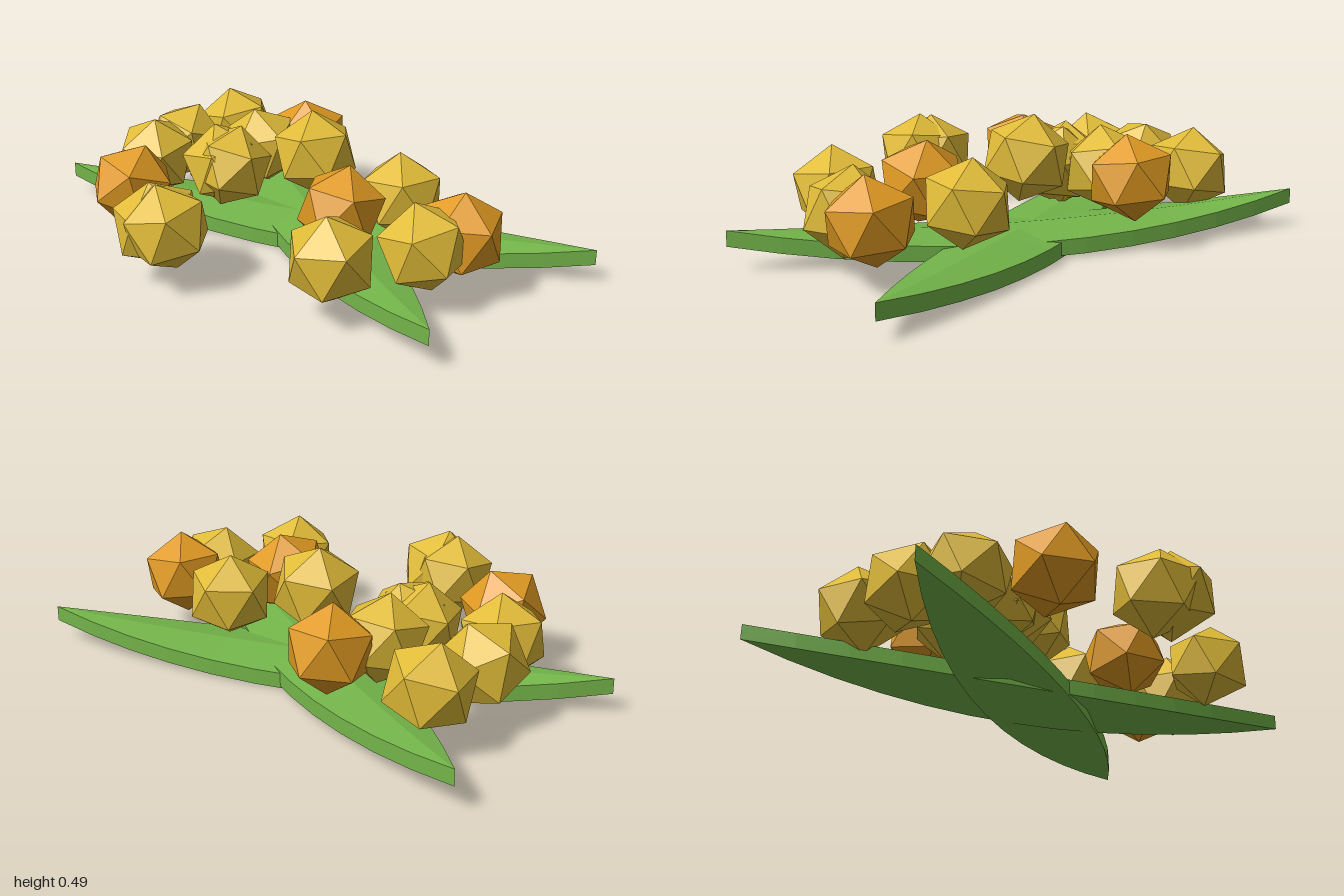
import * as THREE from 'three';

const mat = (name, color) => {
  const m = new THREE.MeshStandardMaterial({ color, flatShading: true });
  m.name = name;
  return m;
};

// Pointed leaf blade: a box tapered to both tips, ends curled up, edges drooping from the midrib
function leafGeometry(length, halfWidth, thickness, rise, droop) {
  const g = new THREE.BoxGeometry(length, thickness, 2, 12, 1, 2);
  const p = g.attributes.position;
  for (let i = 0; i < p.count; i++) {
    const t = p.getX(i) / (length / 2);
    const side = p.getZ(i);
    const taper = 1 - t * t;
    p.setZ(i, side * halfWidth * taper);
    p.setY(i, p.getY(i) + thickness / 2 + droop + rise * t * t - droop * Math.abs(side) * taper);
  }
  g.computeVertexNormals();
  return g;
}

export function createModel() {
  const model = new THREE.Group();
  model.name = 'berriesOnLeaves';
  const green = mat('leafGreen', 0x74b54a);
  const yellow = mat('berryYellow', 0xe0bb38);
  const orange = mat('berryOrange', 0xe09a22);

  // Two crossed leaves
  [
    ['leafLower', 0, 0.352, 0.04],
    ['leafUpper', 0.008, -0.502, 0.05],
  ].forEach(([name, y, turn, rise]) => {
    const leaf = new THREE.Mesh(leafGeometry(2.12, 0.175, 0.057, rise, 0.028), green);
    leaf.name = name;
    leaf.position.set(0, y, -0.168);
    leaf.rotation.y = turn;
    model.add(leaf);
  });

  // Faceted berries: x, y, z, yaw, colour
  const berryGeo = new THREE.IcosahedronGeometry(0.168, 0);
  berryGeo.rotateZ(-0.5536); // one corner upwards
  [
    [-0.65, 0.22, -0.40, 0.2, yellow],
    [-0.27, 0.255, -0.43, 0.9, orange],
    [-0.68, 0.215, -0.14, 0.5, yellow],
    [-0.35, 0.25, -0.24, 1.1, yellow],
    [-0.35, 0.235, -0.03, 0.3, yellow],
    [-0.31, 0.235, -0.03, 0.9, yellow],
    [-0.63, 0.22, 0.07, 0.7, yellow],
    [0.0, 0.33, -0.17, 0.1, yellow],
    [0.355, 0.24, -0.24, 0.4, yellow],
    [0.69, 0.225, -0.14, 1.0, orange],
    [0.31, 0.26, 0.04, 0.6, orange],
    [0.655, 0.22, 0.02, 0.2, yellow],
    [0.49, 0.22, 0.30, 0.8, yellow],
    [-0.48, 0.215, 0.32, 0.35, orange],
    [-0.145, 0.215, 0.49, 0.0, yellow],
    [-0.08, 0.225, 0.505, 0.65, yellow],
  ].forEach(([x, y, z, yaw, colour], i) => {
    const berry = new THREE.Mesh(berryGeo, colour);
    berry.name = 'berry' + (i + 1);
    berry.position.set(x, y, z);
    berry.rotation.set(0.22 * Math.sin(i * 2.3), yaw, 0.22 * Math.cos(i * 1.7));
    berry.scale.set(0.96, 0.95, 1);
    model.add(berry);
  });

  return model;
}
